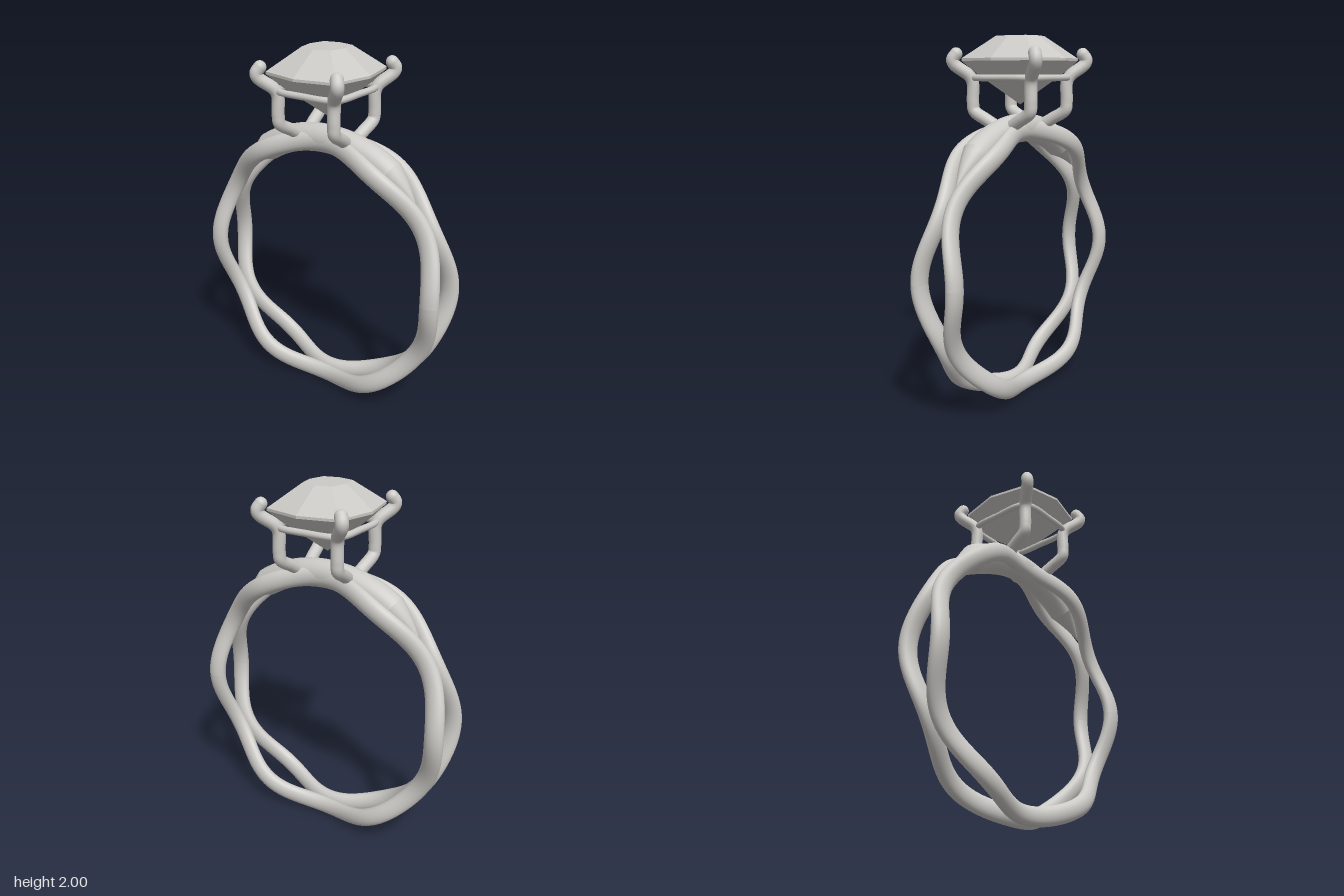
import * as THREE from 'three';

const CENTRE_Y = 0.777;
const rad = THREE.MathUtils.degToRad;

// Sweeps an oval section round the ring centre.
// section(angle) gives [ring radius, z, radial half-size, sideways half-size].
function sweepRing(from, to, steps, section) {
  const sides = 24, pos = [], index = [];
  for (let i = 0; i <= steps; i++) {
    const t = from + (to - from) * i / steps;
    const [R, z, a, b] = section(t);
    for (let j = 0; j < sides; j++) {
      const v = j / sides * Math.PI * 2;
      const r = R + a * Math.cos(v);
      pos.push(r * Math.cos(t), CENTRE_Y + r * Math.sin(t), z + b * Math.sin(v));
    }
  }
  for (let i = 0; i < steps; i++) {
    for (let j = 0; j < sides; j++) {
      const k = (j + 1) % sides;
      const a = i * sides + j, b = a + sides, c = i * sides + k, d = c + sides;
      index.push(a, b, c, b, d, c);
    }
  }
  const g = new THREE.BufferGeometry();
  g.setAttribute('position', new THREE.Float32BufferAttribute(pos, 3));
  g.setIndex(index);
  g.computeVertexNormals();
  return g;
}

// Faceted stone: a bowed eight-cornered outline scaled at each [height, scale] level.
function gemGeometry() {
  const outline = [[0.267, 0], [0.216, 0.232], [0, 0.283], [-0.216, 0.232],
    [-0.267, 0], [-0.216, -0.232], [0, -0.283], [0.216, -0.232]];
  const levels = [[1.637, 0], [1.8, 0.74], [1.868, 1], [1.882, 1], [2, 0.415], [2, 0]];
  const pos = [];
  const point = (l, i) => {
    const [y, s] = levels[l], [x, z] = outline[i % 8];
    return [x * s, y, z * s];
  };
  for (let l = 0; l < levels.length - 1; l++) {
    for (let i = 0; i < 8; i++) {
      const a = point(l, i), b = point(l, i + 1), c = point(l + 1, i), d = point(l + 1, i + 1);
      if (levels[l + 1][1] > 0) pos.push(...a, ...c, ...d);
      if (levels[l][1] > 0) pos.push(...a, ...d, ...b);
    }
  }
  const g = new THREE.BufferGeometry();
  g.setAttribute('position', new THREE.Float32BufferAttribute(pos, 3));
  g.computeVertexNormals();
  return g;
}

export function createModel() {
  const group = new THREE.Group();
  group.name = 'ring';
  const silver = new THREE.MeshStandardMaterial({ color: 0xcccac6 });
  silver.name = 'silver';
  const add = (name, geometry, parent = group) => {
    const m = new THREE.Mesh(geometry, silver);
    m.name = name;
    parent.add(m);
    return m;
  };

  // Two wavy strands that touch and part six times round the band
  for (const side of [1, -1]) {
    add(side > 0 ? 'frontStrand' : 'backStrand', sweepRing(0, Math.PI * 2, 180, t =>
      [0.724, side * (0.074 + 0.038 * Math.cos(6 * t)), 0.053, 0.038]));
  }

  // Thick saddle under the setting, with a pointed tip at each end
  const R = 0.733, thick = 0.078, wide = 0.075, shoulder = rad(57), point = rad(40);
  add('saddle', sweepRing(shoulder, Math.PI - shoulder, 48, () => [R, 0, thick, wide]));
  const taper = t => (t - point) / (shoulder - point);
  add('leftSaddleTip', sweepRing(point, shoulder, 8, t =>
    [R, 0, thick * taper(t), wide * taper(t)]));
  add('rightSaddleTip', sweepRing(Math.PI - shoulder, Math.PI - point, 8, t =>
    [R, 0, thick * taper(Math.PI - t), wide * taper(Math.PI - t)]));

  // Four bent prongs with round tips
  const path = [[0.155, 1.52, 0.04], [0.165, 1.555, 0.1], [0.176, 1.605, 0.18],
    [0.178, 1.65, 0.187], [0.178, 1.755, 0.187], [0.19, 1.79, 0.2],
    [0.245, 1.85, 0.258], [0.252, 1.875, 0.265], [0.238, 1.905, 0.25]];
  for (const sx of [1, -1]) {
    for (const sz of [1, -1]) {
      const prong = new THREE.Group();
      prong.name = (sz > 0 ? 'front' : 'back') + (sx > 0 ? 'Left' : 'Right') + 'Prong';
      const pts = path.map(([x, y, z]) => new THREE.Vector3(x * sx, y, z * sz));
      const curve = new THREE.CatmullRomCurve3(pts, false, 'centripetal');
      add('prongWire', new THREE.TubeGeometry(curve, 60, 0.034, 16), prong);
      const tip = add('prongTip', new THREE.SphereGeometry(0.034, 16, 12), prong);
      tip.position.copy(pts[pts.length - 1]);
      group.add(prong);
    }
  }

  // Bowed rail joining the prongs under the stone
  const rail = [];
  for (const [x, z] of [[0.2, 0], [0.178, 0.187], [0, 0.212], [-0.178, 0.187],
    [-0.2, 0], [-0.178, -0.187], [0, -0.212], [0.178, -0.187]]) {
    rail.push(new THREE.Vector3(x, 1.78, z));
  }
  add('rail', new THREE.TubeGeometry(
    new THREE.CatmullRomCurve3(rail, true, 'centripetal'), 96, 0.018, 12, true));

  // Cut stone
  add('gem', gemGeometry());
  return group;
}
